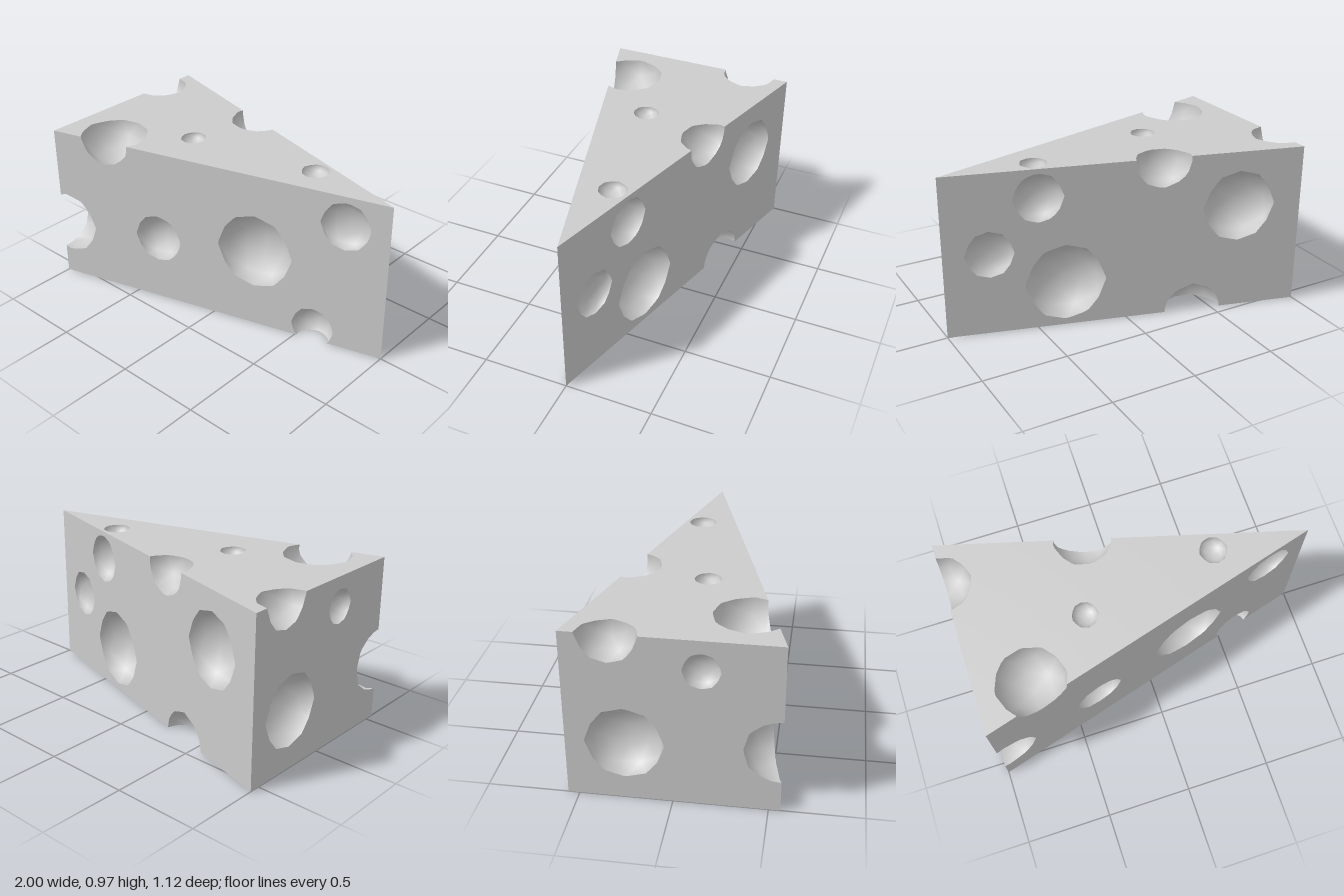
import * as THREE from 'three';

const H = 0.97, W = 0.562;                       // wedge height, half width of the thick end
const V = (x, y, z) => new THREE.Vector3(x, y, z);
const slant = V(W / 2, 0, 1).normalize();
const NORMAL = {
  front: slant,
  back: V(slant.x, 0, -slant.z),
  end: V(-1, 0, 0),
  top: V(0, 1, 0),
  bottom: V(0, -1, 0),
};
const surfaceZ = (x) => (W / 2) * (1 - x);

// Corners of each side, counter-clockwise from outside (top and bottom collapse at the tip)
const SIDES = {
  front: [V(-1, 0, W), V(1, 0, 0), V(1, H, 0), V(-1, H, W)],
  back: [V(1, 0, 0), V(-1, 0, -W), V(-1, H, -W), V(1, H, 0)],
  end: [V(-1, 0, -W), V(-1, 0, W), V(-1, H, W), V(-1, H, -W)],
  top: [V(-1, H, W), V(1, H, 0), V(1, H, 0), V(-1, H, -W)],
  bottom: [V(-1, 0, -W), V(1, 0, 0), V(1, 0, 0), V(-1, 0, W)],
};

// Holes: side they open on, centre, radius, depth as a share of the radius
const HOLES = [
  ['front', -0.96, 0.36, 0.55, 0.195, 1],
  ['front', -0.35, 0.41, surfaceZ(-0.35), 0.15, 0.8],
  ['front', 0.25, 0.49, surfaceZ(0.25), 0.23, 0.75],
  ['front', 0.76, 0.79, surfaceZ(0.76), 0.145, 0.55],
  ['front', 0.6, 0.08, surfaceZ(0.6), 0.13, 0.9],
  ['back', 0.75, 0.49, -surfaceZ(0.75), 0.14, 0.5],
  ['back', 0.48, 0.8, -surfaceZ(0.48), 0.145, 0.75],
  ['back', 0.34, 0.27, -surfaceZ(0.34), 0.235, 0.75],
  ['back', -0.64, 0.64, -surfaceZ(-0.64), 0.215, 0.75],
  ['top', -0.2, 0.96, -0.35, 0.17, 1],
  ['bottom', -0.39, -0.01, -0.39, 0.18, 1],
  ['top', -0.7, 0.98, 0.36, 0.2, 1],
  ['top', -1, 0.97, -0.32, 0.16, 1],
  ['end', -1, 0.34, -0.25, 0.21, 0.75],
  ['end', -1, 0.8, 0.15, 0.1, 0.75],
  ['top', 0.46, H, -0.05, 0.08, 0.75],
  ['top', -0.32, H, 0.09, 0.075, 0.75],
  ['bottom', -0.71, 0, 0.27, 0.16, 0.75],
];

// Faceted unit ball used for every hole
const ball = [];
const ico = new THREE.IcosahedronGeometry(1, 1).attributes.position;
for (let i = 0; i < ico.count; i += 3) {
  const pts = [0, 1, 2].map((k) => new THREE.Vector3().fromBufferAttribute(ico, i + k));
  ball.push({ pts, plane: new THREE.Plane().setFromCoplanarPoints(...pts) });
}

function makeHole([side, x, y, z, r, depth]) {
  const turn = new THREE.Quaternion().setFromUnitVectors(V(0, 0, 1), NORMAL[side]);
  const matrix = new THREE.Matrix4().compose(V(x, y, z), turn, V(r, r, r * depth));
  const inverse = matrix.clone().invert();
  const normalMatrix = new THREE.Matrix3().getNormalMatrix(matrix);
  const q = V(0, 0, 0);
  // Positive outside the ball
  const outside = (p) => {
    q.copy(p).applyMatrix4(inverse);
    const far = q.length() - 1;
    if (far > 0) return far;
    let most = -1;
    for (const f of ball) most = Math.max(most, f.plane.distanceToPoint(q));
    return most;
  };
  const normalAt = (p) =>
    p.clone().applyMatrix4(inverse).applyMatrix3(normalMatrix).normalize().negate();
  return { matrix, outside, normalAt };
}

// Cut a convex polygon, keeping the part where keep(p) >= 0
function clip(poly, keep) {
  const value = poly.map(keep);
  if (value.every((v) => v >= 0)) return poly;
  const out = [];
  poly.forEach((a, i) => {
    const j = (i + 1) % poly.length;
    const inA = value[i] >= 0;
    if (inA) out.push(a);
    if (inA !== value[j] >= 0) {
      let lo = inA ? a.clone() : poly[j].clone();
      let hi = inA ? poly[j].clone() : a.clone();
      for (let k = 0; k < 18; k++) {
        const mid = lo.clone().lerp(hi, 0.5);
        if (keep(mid) >= 0) lo = mid; else hi = mid;
      }
      out.push(lo);
    }
  });
  return out;
}

// Fan the polygons into one mesh
function polygonMesh(name, polys, normalAt, material) {
  const pos = [], nor = [];
  for (const poly of polys) {
    for (let i = 1; i + 1 < poly.length; i++) {
      for (const p of [poly[0], poly[i], poly[i + 1]]) {
        pos.push(p.x, p.y, p.z);
        nor.push(...normalAt(p).toArray());
      }
    }
  }
  const geo = new THREE.BufferGeometry();
  geo.setAttribute('position', new THREE.Float32BufferAttribute(pos, 3));
  geo.setAttribute('normal', new THREE.Float32BufferAttribute(nor, 3));
  const mesh = new THREE.Mesh(geo, material);
  mesh.name = name;
  return mesh;
}

export function createModel() {
  const group = new THREE.Group();
  group.name = 'cheeseWedge';
  const material = new THREE.MeshStandardMaterial({ color: 0xcccccc });
  const holes = HOLES.map(makeHole);

  // Flat sides, gridded and cut by the holes
  const NU = 56, NV = 32;
  for (const [side, [a, b, c, d]] of Object.entries(SIDES)) {
    const at = (i, j) =>
      a.clone().lerp(b, i / NU).lerp(d.clone().lerp(c, i / NU), j / NV);
    const polys = [];
    for (let i = 0; i < NU; i++) {
      for (let j = 0; j < NV; j++) {
        const [p, q, r, s] = [at(i, j), at(i + 1, j), at(i + 1, j + 1), at(i, j + 1)];
        for (let poly of [[p, q, r], [p, r, s]]) {
          for (const hole of holes) poly = clip(poly, hole.outside);
          polys.push(poly);
        }
      }
    }
    group.add(polygonMesh(side + 'Side', polys, () => NORMAL[side], material));
  }

  // Hollow bowls, trimmed to the wedge and to each other
  const inside = Object.keys(SIDES).map((side) => {
    const offset = NORMAL[side].dot(SIDES[side][0]);
    return (p) => offset - NORMAL[side].dot(p);
  });
  holes.forEach((hole, n) => {
    const cuts = [...inside, ...holes.filter((h) => h !== hole).map((h) => h.outside)];
    const polys = ball.map(({ pts }) => {
      let poly = pts.map((p) => p.clone().applyMatrix4(hole.matrix)).reverse();
      for (const cut of cuts) poly = clip(poly, cut);
      return poly;
    });
    group.add(polygonMesh('hole' + (n + 1), polys, hole.normalAt, material));
  });
  return group;
}
